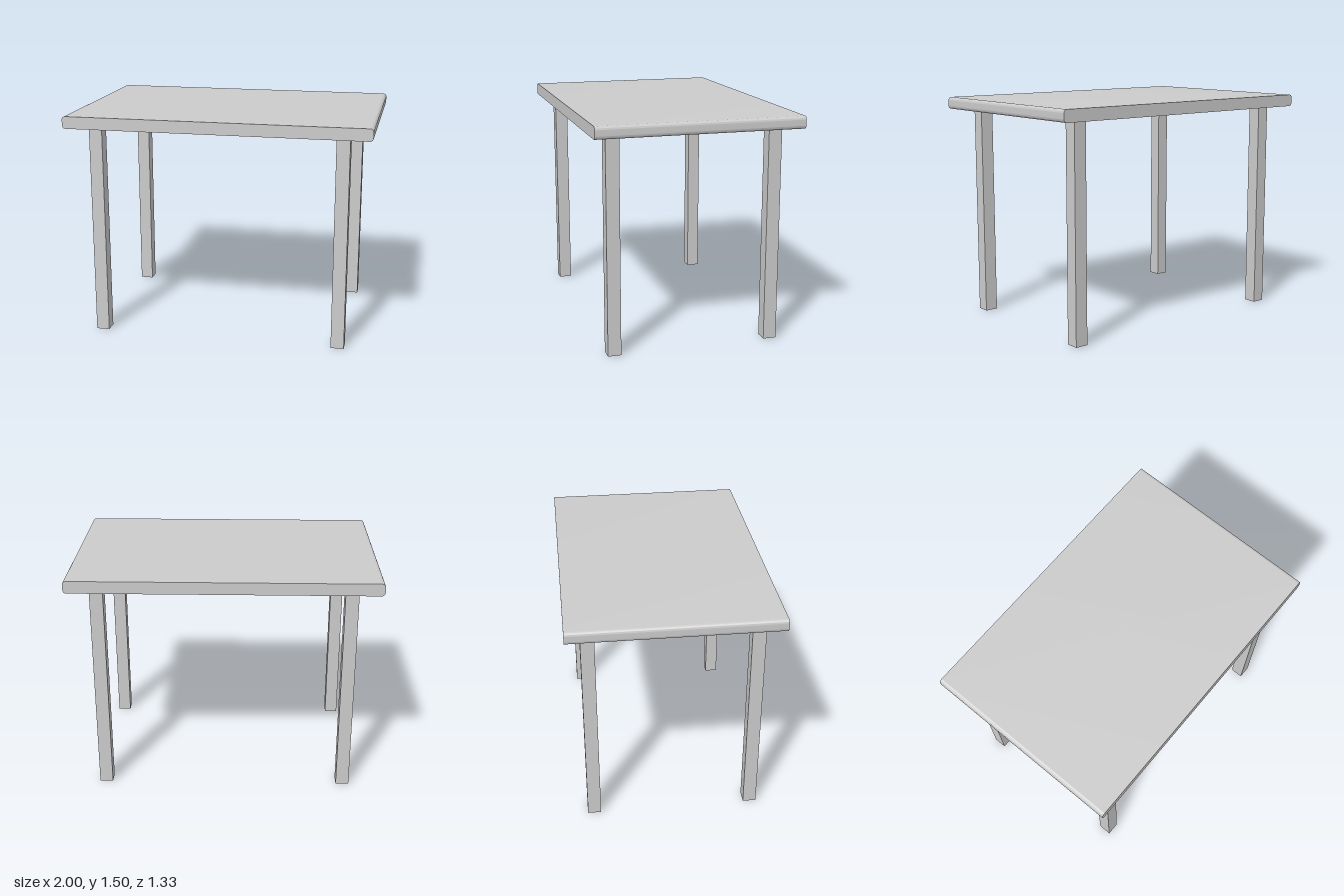
import * as THREE from 'three';
import { toCreasedNormals } from 'three/addons/utils/BufferGeometryUtils.js';

const material = new THREE.MeshStandardMaterial({ color: 0xcccccc, side: THREE.DoubleSide });

// Drops the triangles that lie flat on the underside, leaving a shell open below
function openBelow(source) {
  const geometry = source.index ? source.toNonIndexed() : source;
  geometry.computeBoundingBox();
  const bottom = geometry.boundingBox.min.y + 1e-5;
  const p = geometry.attributes.position;
  const kept = [];
  for (let i = 0; i < p.count; i += 3) {
    const flat = [i, i + 1, i + 2].every((k) => p.getY(k) < bottom);
    if (!flat) kept.push(i, i + 1, i + 2);
  }
  geometry.clearGroups();
  geometry.setIndex(kept);
  return geometry.toNonIndexed();
}

// Slab profile, rounded at both ends
function slabProfile(halfWidth, y0, y1, r) {
  const s = new THREE.Shape();
  s.moveTo(-halfWidth + r, y0);
  s.lineTo(halfWidth - r, y0);
  s.absarc(halfWidth - r, y0 + r, r, -Math.PI / 2, 0);
  s.absarc(halfWidth - r, y1 - r, r, 0, Math.PI / 2);
  s.absarc(-halfWidth + r, y1 - r, r, Math.PI / 2, Math.PI);
  s.absarc(-halfWidth + r, y0 + r, r, Math.PI, Math.PI * 1.5);
  return s;
}

export function createModel() {
  const table = new THREE.Group();
  table.name = 'table';
  const underside = 1.42, top = 1.5, depth = 1.334;

  // Tabletop shell
  const slab = new THREE.ExtrudeGeometry(slabProfile(1, underside, top, 0.022), {
    depth, bevelEnabled: false, curveSegments: 8,
  });
  slab.translate(0, 0, -depth / 2);
  const tabletop = new THREE.Mesh(toCreasedNormals(openBelow(slab), 0.6), material);
  tabletop.name = 'tabletop';
  table.add(tabletop);

  // Four square hollow legs
  const legGeometry = openBelow(new THREE.BoxGeometry(0.087, underside, 0.087));
  for (const [side, x] of [['Left', 0.81], ['Right', -0.81]]) {
    for (const [end, z] of [['front', 0.527], ['back', -0.527]]) {
      const leg = new THREE.Mesh(legGeometry, material);
      leg.name = `${end}${side}Leg`;
      leg.position.set(x, underside / 2, z);
      table.add(leg);
    }
  }
  return table;
}
